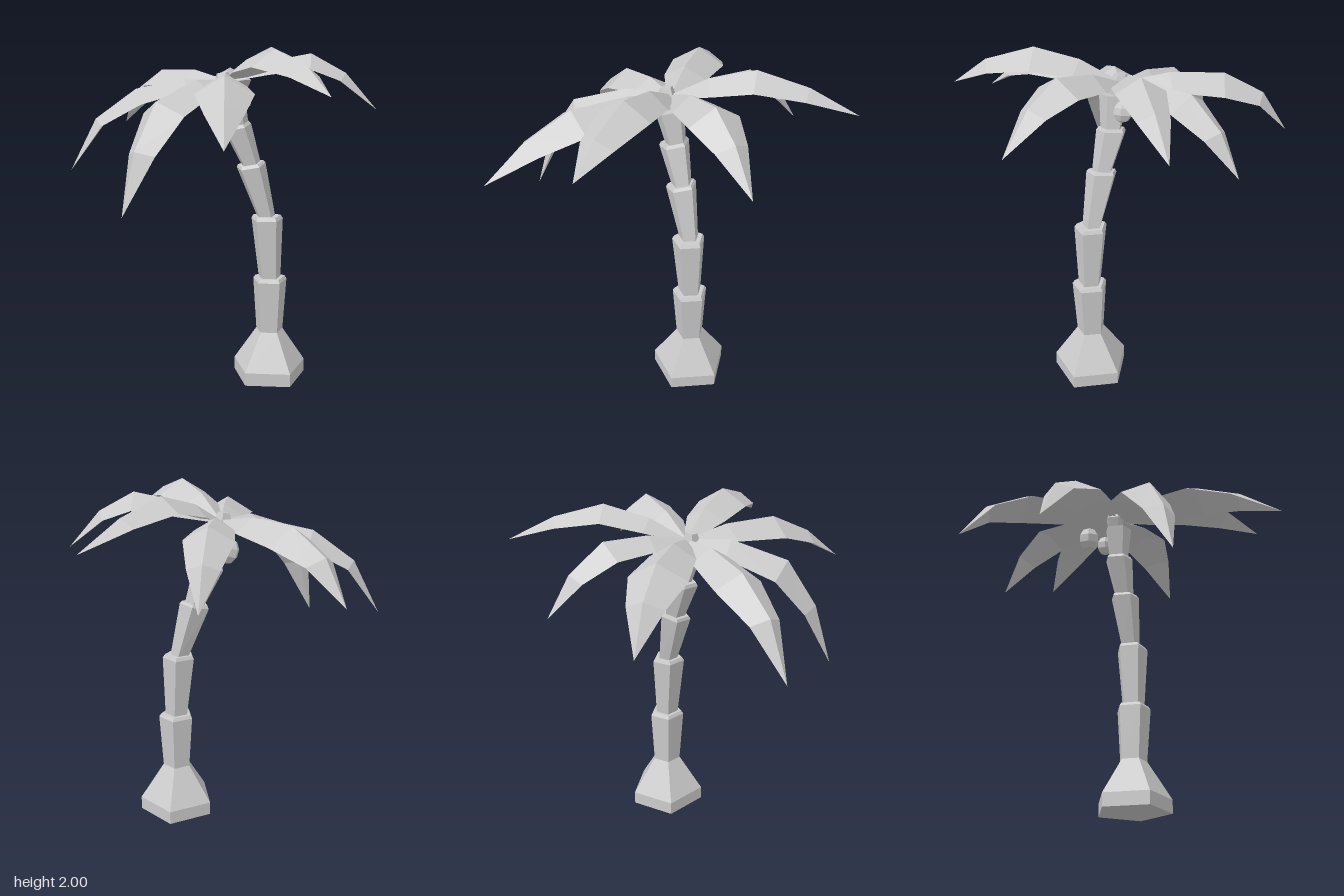
import * as THREE from 'three';

const material = new THREE.MeshStandardMaterial({ color: 0xcccccc, flatShading: true });

// Joins equal-sized rings of points into a closed faceted skin.
function loft(name, rings) {
  const n = rings[0].length;
  const index = [];
  for (let i = 0; i < rings.length - 1; i++) {
    for (let j = 0; j < n; j++) {
      const a = i * n + j, b = i * n + (j + 1) % n;
      index.push(a, b, b + n, a, b + n, a + n);
    }
  }
  const last = (rings.length - 1) * n;
  for (let j = 1; j < n - 1; j++) {
    index.push(0, j + 1, j, last, last + j, last + j + 1);
  }
  const geometry = new THREE.BufferGeometry().setFromPoints(rings.flat());
  geometry.setIndex(index);
  const flat = geometry.toNonIndexed();
  flat.computeVertexNormals();
  const mesh = new THREE.Mesh(flat, material);
  mesh.name = name;
  return mesh;
}

// Five-sided trunk ring, tilted about z.
function trunkRing([x, y, z, r, tilt = 0]) {
  return Array.from({ length: 5 }, (_, k) => {
    const a = -THREE.MathUtils.degToRad(11) + (k * Math.PI * 2) / 5;
    return new THREE.Vector3(r * Math.cos(a), 0, -r * Math.sin(a))
      .applyAxisAngle(new THREE.Vector3(0, 0, 1), tilt)
      .add(new THREE.Vector3(x, y, z));
  });
}

// Roof-shaped frond: a midrib from the crown to the tip with edges that hang down.
const crown = new THREE.Vector3(-0.03, 1.82, -0.05);
function frond({ tip, heights, at, width }) {
  const dir = new THREE.Vector3(tip[0] - crown.x, 0, tip[1] - crown.z);
  const length = dir.length();
  dir.normalize();
  const side = new THREE.Vector3(dir.z, 0, -dir.x);
  const steps = [0, ...at, 1];
  const levels = [crown.y, ...heights];
  const halfWidths = [0.025, width * 0.8, width, width * 0.64, 0];
  const rib = steps.map((t, i) =>
    new THREE.Vector3(crown.x, levels[i], crown.z).addScaledVector(dir, t * length));

  const rings = rib.map((p, i) => {
    const along = rib[Math.min(i + 1, 4)].clone().sub(rib[Math.max(i - 1, 0)]).normalize();
    const up = along.clone().cross(side).normalize();
    const w = halfWidths[i];
    const edge = (s) => p.clone().addScaledVector(side, s * w).addScaledVector(up, -0.6 * w);
    return [edge(1), p.clone(), edge(-1), p.clone().addScaledVector(up, -0.22 * w)];
  });
  return loft('frond', rings);
}

export function createModel() {
  const model = new THREE.Group();
  model.name = 'palmTree';

  // Trunk: flared foot, then stacked collars that lean and taper (x, y, z, radius, tilt)
  const trunkRings = [
    [0.21, 0, 0.065, 0.23], [0.21, 0.08, 0.065, 0.23], [0.21, 0.3, 0.067, 0.085],
    [0.208, 0.62, 0.07, 0.107], [0.208, 0.64, 0.07, 0.094],
    [0.206, 0.64, 0.07, 0.07], [0.188, 1.0, 0.065, 0.099], [0.188, 1.02, 0.063, 0.087],
    [0.183, 1.02, 0.058, 0.058], [0.1, 1.32, 0.023, 0.091, 0.2], [0.097, 1.336, 0.02, 0.08, 0.2],
    [0.1, 1.336, 0.02, 0.06, 0.2], [0.023, 1.55, -0.012, 0.089, 0.22], [0.02, 1.568, -0.013, 0.077, 0.22],
    [0.032, 1.568, -0.012, 0.062, 0.22], [-0.013, 1.75, -0.015, 0.085, 0.2],
  ];
  model.add(loft('trunk', trunkRings.map(trunkRing)));

  // Bud closing the top of the trunk
  const budRings = [
    [-0.03, 1.74, -0.03, 0.045, 0.2], [-0.05, 1.8, -0.035, 0.058, 0.2], [-0.055, 1.86, -0.04, 0.035, 0.2],
  ];
  model.add(loft('bud', budRings.map(trunkRing)));

  // Fronds: tip x and z, then midrib heights at the stations and the tip
  const fronds = [
    { tip: [-0.36, -0.94], heights: [1.87, 1.86, 1.74, 1.51], at: [0.28, 0.6, 0.84], width: 0.155 },
    { tip: [0.345, -0.775], heights: [1.87, 1.87, 1.72, 1.5], at: [0.28, 0.6, 0.84], width: 0.135 },
    { tip: [0.865, -0.52], heights: [1.93, 2.0, 1.92, 1.78], at: [0.2, 0.45, 0.73], width: 0.13 },
    { tip: [0.755, 0.335], heights: [1.92, 1.97, 1.86, 1.65], at: [0.26, 0.56, 0.79], width: 0.145 },
    { tip: [0.115, 0.885], heights: [1.94, 2.0, 1.92, 1.78], at: [0.24, 0.51, 0.8], width: 0.15 },
    { tip: [-0.475, 0.935], heights: [1.87, 1.87, 1.75, 1.56], at: [0.24, 0.54, 0.78], width: 0.155 },
    { tip: [-0.775, 0.295], heights: [1.83, 1.73, 1.48, 1.145], at: [0.3, 0.68, 0.88], width: 0.155 },
    { tip: [-0.87, -0.39], heights: [1.83, 1.77, 1.6, 1.3], at: [0.26, 0.57, 0.83], width: 0.145 },
  ];
  const leaves = new THREE.Group();
  leaves.name = 'fronds';
  fronds.forEach((f) => leaves.add(frond(f)));
  model.add(leaves);

  // Coconuts under the crown
  for (const [x, y, z, r] of [[0.11, 1.705, -0.1, 0.055], [-0.02, 1.675, -0.195, 0.066]]) {
    const coconut = new THREE.Mesh(new THREE.SphereGeometry(r, 6, 5), material);
    coconut.name = 'coconut';
    coconut.position.set(x, y, z);
    coconut.scale.y = 1.1;
    coconut.rotation.z = 0.3;
    model.add(coconut);
  }
  return model;
}
